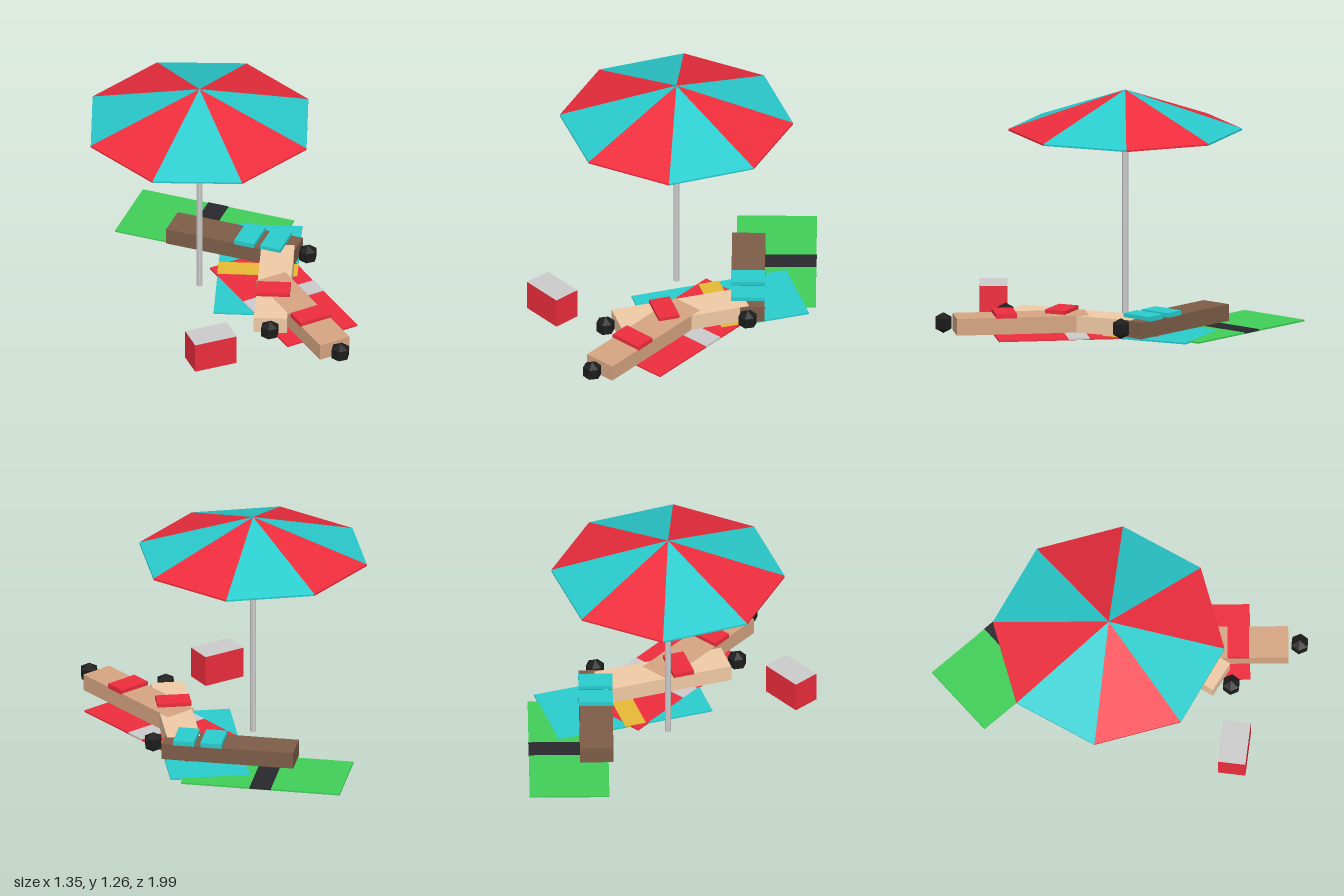
import * as THREE from 'three';

const RED = 0xee2d3d, TEAL = 0x2accce, GREY = 0xcccccc, BLACK = 0x29292d;

const paint = (color, side = THREE.FrontSide) =>
  new THREE.MeshStandardMaterial({ color, side, flatShading: true });

function add(parent, name, geometry, material, x = 0, y = 0, z = 0) {
  const mesh = new THREE.Mesh(geometry, material);
  mesh.name = name;
  mesh.position.set(x, y, z);
  parent.add(mesh);
  return mesh;
}

// Box given by its bottom and top heights
const slab = (parent, name, color, w, d, y0, y1, z = 0) =>
  add(parent, name, new THREE.BoxGeometry(w, y1 - y0, d), paint(color), 0, (y0 + y1) / 2, z);

function group(parent, name, x = 0, z = 0, turn = 0) {
  const g = new THREE.Group();
  g.name = name;
  g.position.set(x, 0, z);
  g.rotation.y = turn;
  parent.add(g);
  return g;
}

// Eight-panel canopy with a narrow lip, on a slim pole
function buildParasol(root) {
  const parasol = group(root, 'parasol', -0.05, -0.033);
  const radius = 0.63, step = Math.PI / 4;
  for (let i = 0; i < 8; i++) {
    const fabric = paint(i % 2 ? TEAL : RED, THREE.DoubleSide);
    add(parasol, 'canopyPanel', new THREE.ConeGeometry(radius, 0.215, 1, 1, true, i * step, step), fabric, 0, 1.1575, 0);
    add(parasol, 'canopyLip', new THREE.CylinderGeometry(radius, radius, 0.01, 1, 1, true, i * step, step), fabric, 0, 1.045, 0);
  }
  add(parasol, 'pole', new THREE.CylinderGeometry(0.017, 0.017, 1.19, 8), paint(GREY), 0, 0.595, 0);
}

// Red cool box, open underneath, with a grey lid
function buildCooler(root) {
  const cooler = group(root, 'coolBox', -0.26, 0.675);
  const w = 0.24, h = 0.17, d = 0.15;
  const red = paint(RED, THREE.DoubleSide);
  for (const s of [-1, 1]) {
    add(cooler, 'coolBoxWall', new THREE.PlaneGeometry(w, h), red, 0, h / 2, s * d / 2).rotation.y = s > 0 ? 0 : Math.PI;
    add(cooler, 'coolBoxEnd', new THREE.PlaneGeometry(d, h), red, s * w / 2, h / 2, 0).rotation.y = s * Math.PI / 2;
  }
  add(cooler, 'coolBoxLidUnderside', new THREE.PlaneGeometry(w, d), paint(RED), 0, h - 0.002, 0).rotation.x = Math.PI / 2;
  add(cooler, 'coolBoxLid', new THREE.PlaneGeometry(w, d), paint(GREY), 0, h, 0).rotation.x = -Math.PI / 2;
}

// Each sunbather: towel centre, body centre, direction towards the head, colours
const SUNBATHERS = [
  { towel: [0.326, 0.25], body: [0.326, 0.534], dir: [0.13, 0.99], cloth: RED, stripe: GREY, skin: 0xd6a582, wear: RED, pieces: [0.09] },
  { towel: [0.293, -0.046], body: [0.28, 0.23], dir: [-0.416, 0.909], cloth: TEAL, stripe: 0xe6b935, skin: 0xf0caa6, wear: RED, pieces: [0.09] },
  { towel: [0.18, -0.55], body: [0.25, -0.285], dir: [0.746, 0.666], cloth: 0x40cf58, stripe: BLACK, skin: 0x7d5d48, wear: TEAL, pieces: [0.09, 0.24] },
];

function buildSunbather(root, s, i) {
  const turn = Math.atan2(s.dir[0], s.dir[1]);

  // Towel with a crosswise stripe; a hair's height apart where towels overlap
  const lift = i === 0 ? 0.001 : i === 1 ? 0.0005 : 0;
  const towel = group(root, 'towel', s.towel[0], s.towel[1], turn);
  slab(towel, 'towelCloth', s.cloth, 0.43, 0.87, lift, 0.009 + lift);
  slab(towel, 'towelStripe', s.stripe, 0.433, 0.116, 0.002 + lift, 0.0115 + lift);

  // Block body with swimwear on top
  const body = group(root, 'sunbather', s.body[0], s.body[1], turn);
  slab(body, 'body', s.skin, 0.18, 0.72, 0.012, 0.103 + lift);
  for (const z of s.pieces) slab(body, 'swimwear', s.wear, 0.184, 0.115, 0.099, 0.125, z);

  // Low-poly head just past the end of the body
  const reach = 0.422;
  add(root, 'head', new THREE.SphereGeometry(0.057, 6, 3), paint(0x1c1c1c),
    s.body[0] + s.dir[0] * reach, 0.069, s.body[1] + s.dir[1] * reach);
}

export function createModel() {
  const root = new THREE.Group();
  root.name = 'beachScene';
  buildParasol(root);
  buildCooler(root);
  SUNBATHERS.forEach((s, i) => buildSunbather(root, s, i));
  return root;
}
